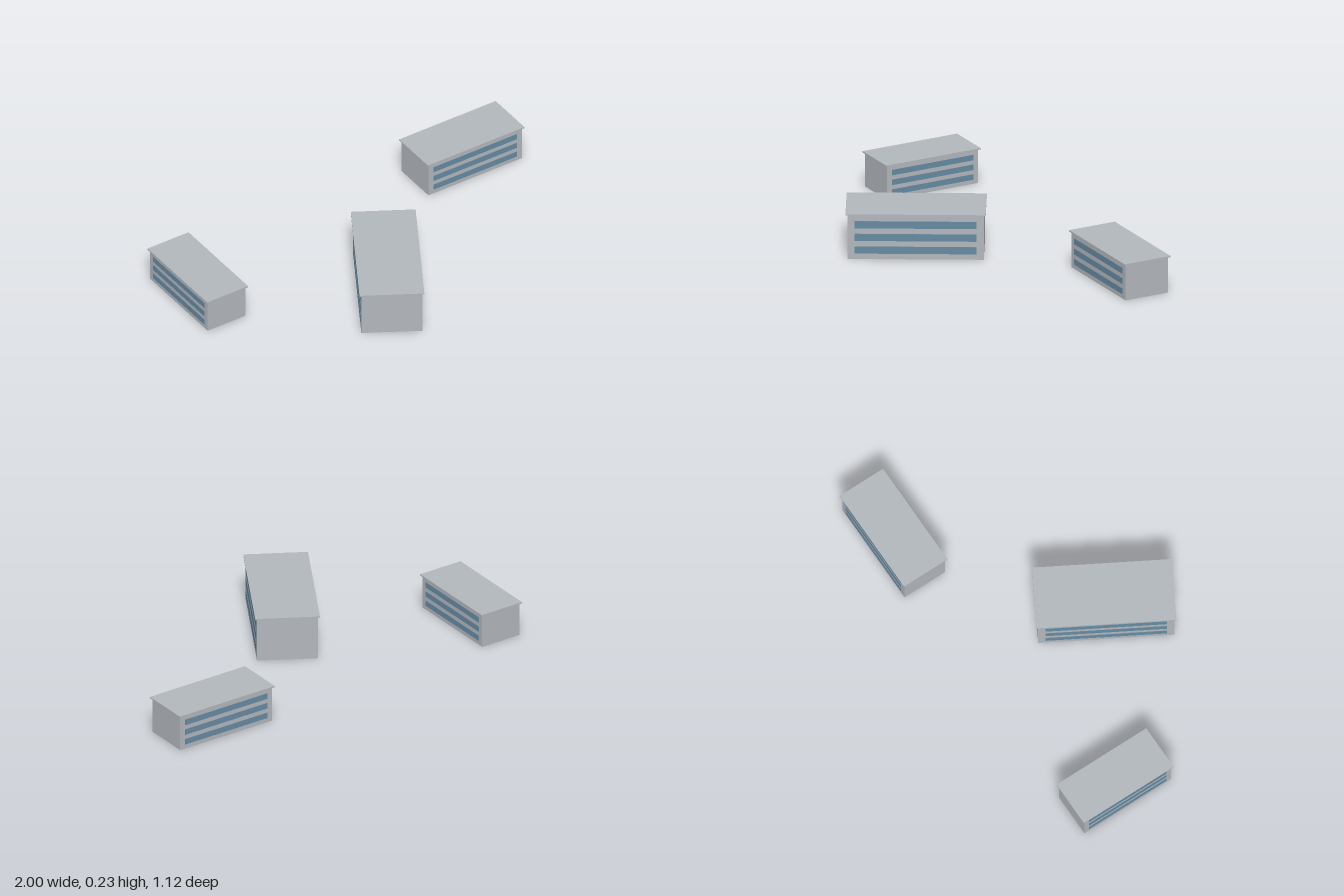
import * as THREE from 'three';

const wallGrey = new THREE.MeshStandardMaterial({ name: 'wallGrey', color: 0xb2b7bd });
const windowBlue = new THREE.MeshStandardMaterial({ name: 'windowBlue', color: 0x668aa2 });

const OVERHANG = 0.009;
const ROOF = 0.0065;
const PLATE = 0.003;

function addBox(parent, name, material, size, position) {
  const mesh = new THREE.Mesh(new THREE.BoxGeometry(...size), material);
  mesh.name = name;
  mesh.position.set(...position);
  parent.add(mesh);
}

// Office block with its long side along local z and window bands on both long sides
function createBlock({ name, x, z, width, length, height, turn }) {
  const block = new THREE.Group();
  block.name = name;
  block.position.set(x, 0, z);
  block.rotation.y = turn;

  addBox(block, 'walls', wallGrey, [width, height, length], [0, height / 2, 0]);
  addBox(block, 'roofSlab', wallGrey,
    [width + 2 * OVERHANG, ROOF, length + 2 * OVERHANG], [0, height + ROOF / 2, 0]);

  // Three storeys of thin window bands
  for (const side of [-1, 1]) {
    for (let floor = 0; floor < 3; floor++) {
      addBox(block, 'windowBand', windowBlue,
        [PLATE, height * 0.163, length * 0.892],
        [side * width / 2, height * (0.205 + 0.288 * floor), 0]);
    }
  }
  return block;
}

export function createModel() {
  const model = new THREE.Group();
  model.name = 'officeBlocks';
  const blocks = [
    { name: 'rightBlock', x: -0.884, z: -0.257, width: 0.214, length: 0.49, height: 0.169, turn: 0 },
    { name: 'middleBlock', x: -0.1125, z: 0.197, width: 0.288, length: 0.643, height: 0.2195, turn: -Math.PI / 6 },
    { name: 'leftBlock', x: 0.727, z: -0.436, width: 0.228, length: 0.528, height: 0.178, turn: Math.PI / 2 },
  ];
  for (const block of blocks) model.add(createBlock(block));
  return model;
}
